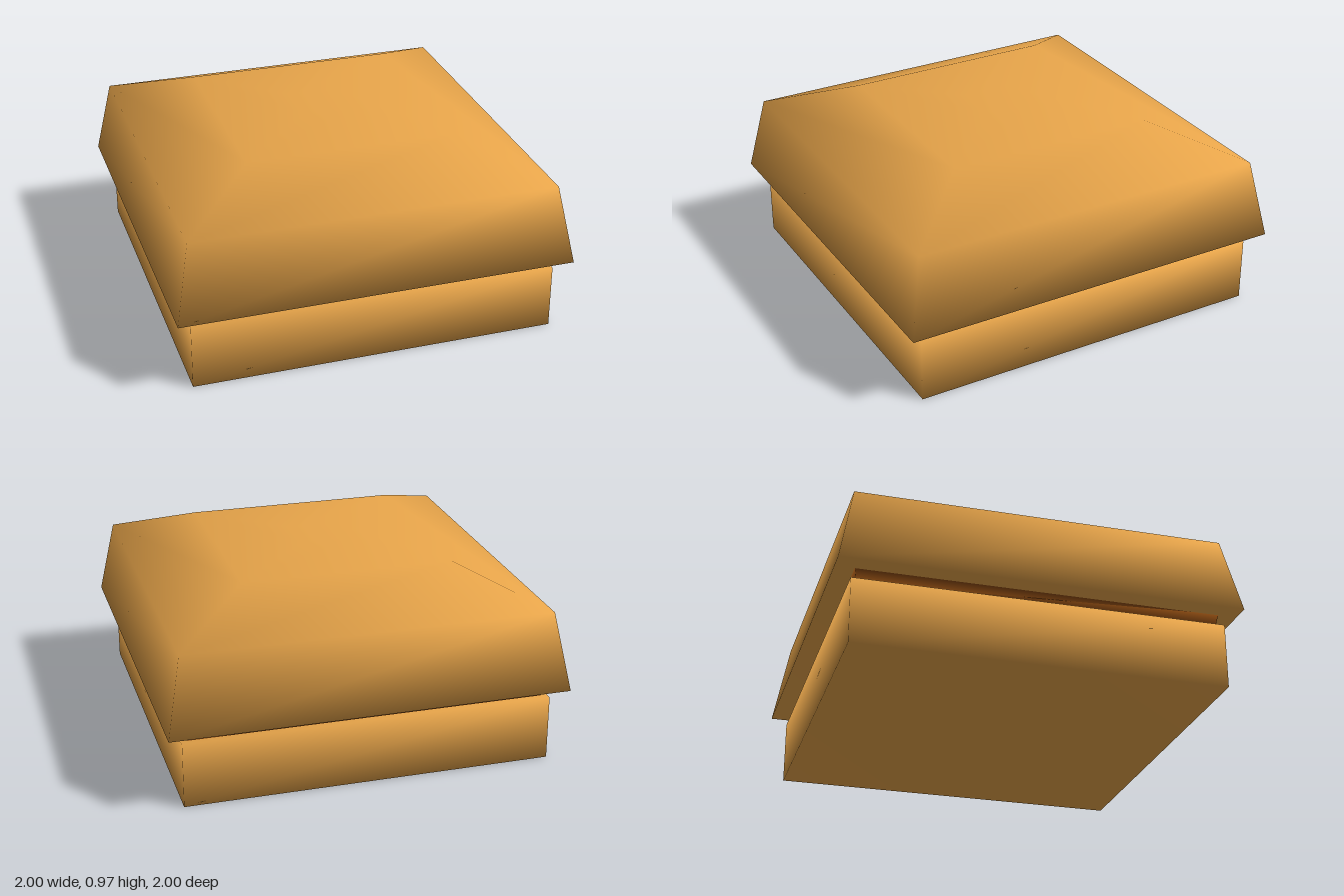
import * as THREE from 'three';

const CORNERS = [[1, 1], [1, -1], [-1, -1], [-1, 1]];

// Closed solid through square rings [halfWidth, y], bottom to top, with shared smooth normals.
function squareLoft(name, rings, color) {
  const points = [];
  const index = [];
  for (const [r, y] of rings) {
    for (const [x, z] of CORNERS) points.push(x * r, y, z * r);
  }
  for (let k = 0; k < rings.length - 1; k++) {
    for (let i = 0; i < 4; i++) {
      const a = k * 4 + i;
      const b = k * 4 + (i + 1) % 4;
      index.push(a, b, b + 4, a, b + 4, a + 4);
    }
  }
  // bottom and top caps
  const t = (rings.length - 1) * 4;
  index.push(0, 2, 1, 0, 3, 2, t, t + 1, t + 2, t, t + 2, t + 3);

  const geometry = new THREE.BufferGeometry();
  geometry.setAttribute('position', new THREE.Float32BufferAttribute(points, 3));
  geometry.setIndex(index);
  geometry.computeVertexNormals();
  const mesh = new THREE.Mesh(geometry, new THREE.MeshStandardMaterial({ color }));
  mesh.name = name;
  return mesh;
}

export function createModel() {
  const group = new THREE.Group();
  group.name = 'squareBurger';
  const bun = 0xe8a54a;

  // flat lower bun
  group.add(squareLoft('bottomBun', [[0.925, 0], [0.925, 0.33]], bun));
  // thin filling, widening upwards
  group.add(squareLoft('patty', [[0.89, 0.325], [0.905, 0.395]], 0x86470f));
  // overhanging domed lid
  group.add(squareLoft('topBun', [[1, 0.39], [0.925, 0.785], [0.535, 0.95], [0.115, 0.967]], bun));

  return group;
}
